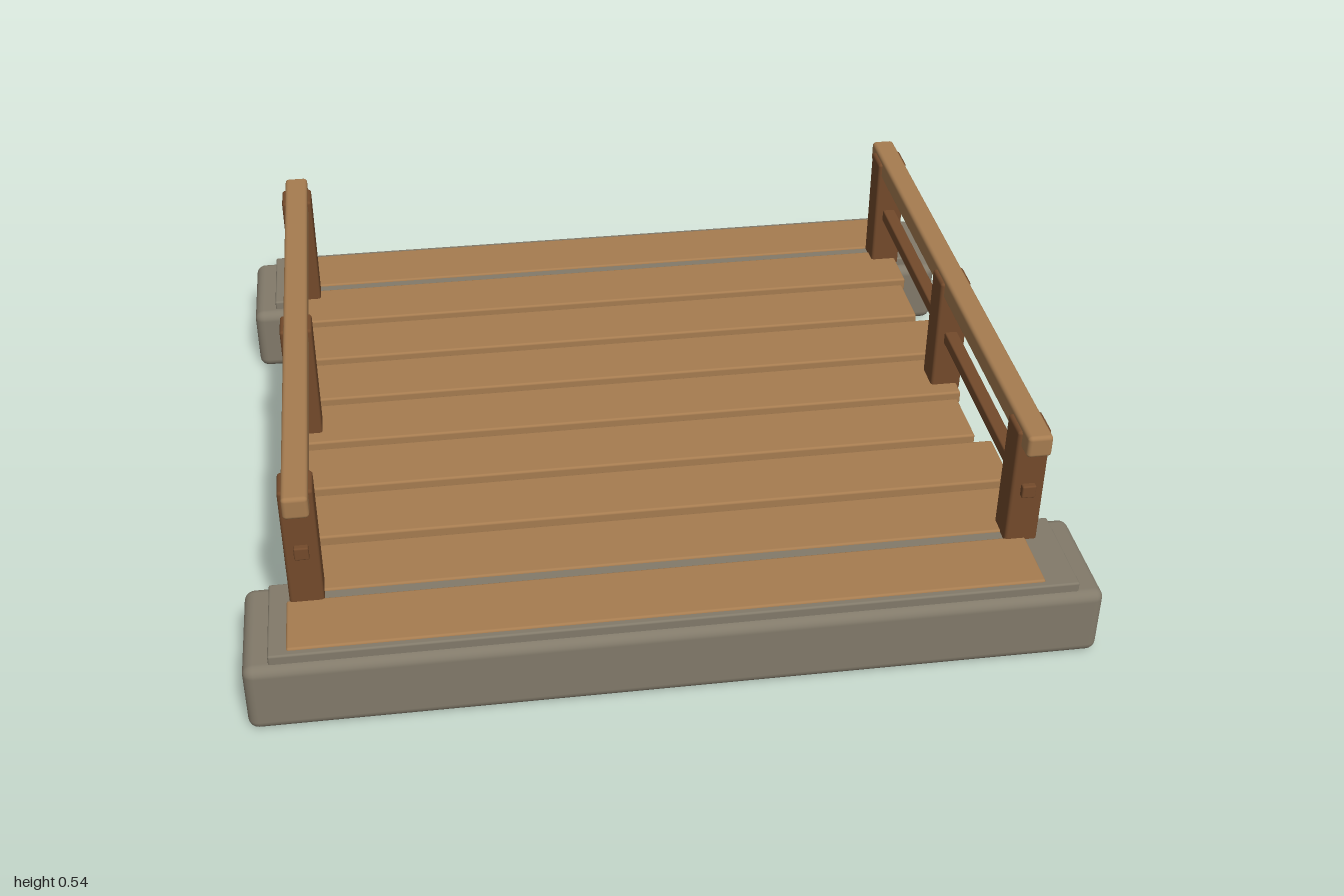
import * as THREE from 'three';
import { RoundedBoxGeometry } from 'three/addons/geometries/RoundedBoxGeometry.js';

const material = (name, color) => {
  const m = new THREE.MeshStandardMaterial({ color });
  m.name = name;
  return m;
};

export function createModel() {
  const bridge = new THREE.Group();
  bridge.name = 'footbridge';
  const stone = material('stone', 0x827a6a);
  const lightWood = material('light wood', 0xa67c50);
  const darkWood = material('dark wood', 0x734a2b);

  // Block given by its size, centre and edge radius (0 = sharp)
  const block = (parent, name, mat, [w, h, d], [x, y, z], radius = 0) => {
    const geometry = radius
      ? new RoundedBoxGeometry(w, h, d, 3, radius)
      : new THREE.BoxGeometry(w, h, d);
    const mesh = new THREE.Mesh(geometry, mat);
    mesh.name = name;
    mesh.position.set(x, y, z);
    parent.add(mesh);
  };

  // Stone footings with a thin capping slab at each end
  for (const [side, s] of [['front', 1], ['back', -1]]) {
    const footing = new THREE.Group();
    footing.name = side + 'Footing';
    block(footing, 'footingBlock', stone, [2, 0.18, 0.3], [0, 0.09, s * 0.757], 0.025);
    block(footing, 'footingCap', stone, [1.88, 0.04, 0.254], [0, 0.183, s * 0.761], 0.005);
    bridge.add(footing);
  }

  // Dark bed under the deck
  block(bridge, 'deckBed', darkWood, [1.72, 0.044, 1.4], [0, 0.144, 0]);

  // Nine deck planks, staggered sideways in a repeating pattern
  const deck = new THREE.Group();
  deck.name = 'deck';
  for (let i = 0; i < 9; i++) {
    const shift = [0.018, 0, -0.018][i % 3];
    block(deck, 'plank', lightWood, [1.76, 0.038, 0.17], [shift, 0.189, (i - 4) * 0.197], 0.006);
  }
  bridge.add(deck);

  // Railings: three posts, a thin middle bar and a handrail on each side
  for (const [side, s] of [['left', 1], ['right', -1]]) {
    const railing = new THREE.Group();
    railing.name = side + 'Railing';
    railing.position.x = s * 0.85;
    for (const z of [-0.67, 0, 0.67]) {
      block(railing, 'post', darkWood, [0.08, 0.335, 0.082], [0, 0.3545, z], 0.008);
    }
    block(railing, 'middleBar', darkWood, [0.034, 0.034, 1.45], [0, 0.355, 0], 0.004);
    block(railing, 'handrail', lightWood, [0.06, 0.058, 1.51], [0, 0.506, 0], 0.01);
    bridge.add(railing);
  }

  return bridge;
}
